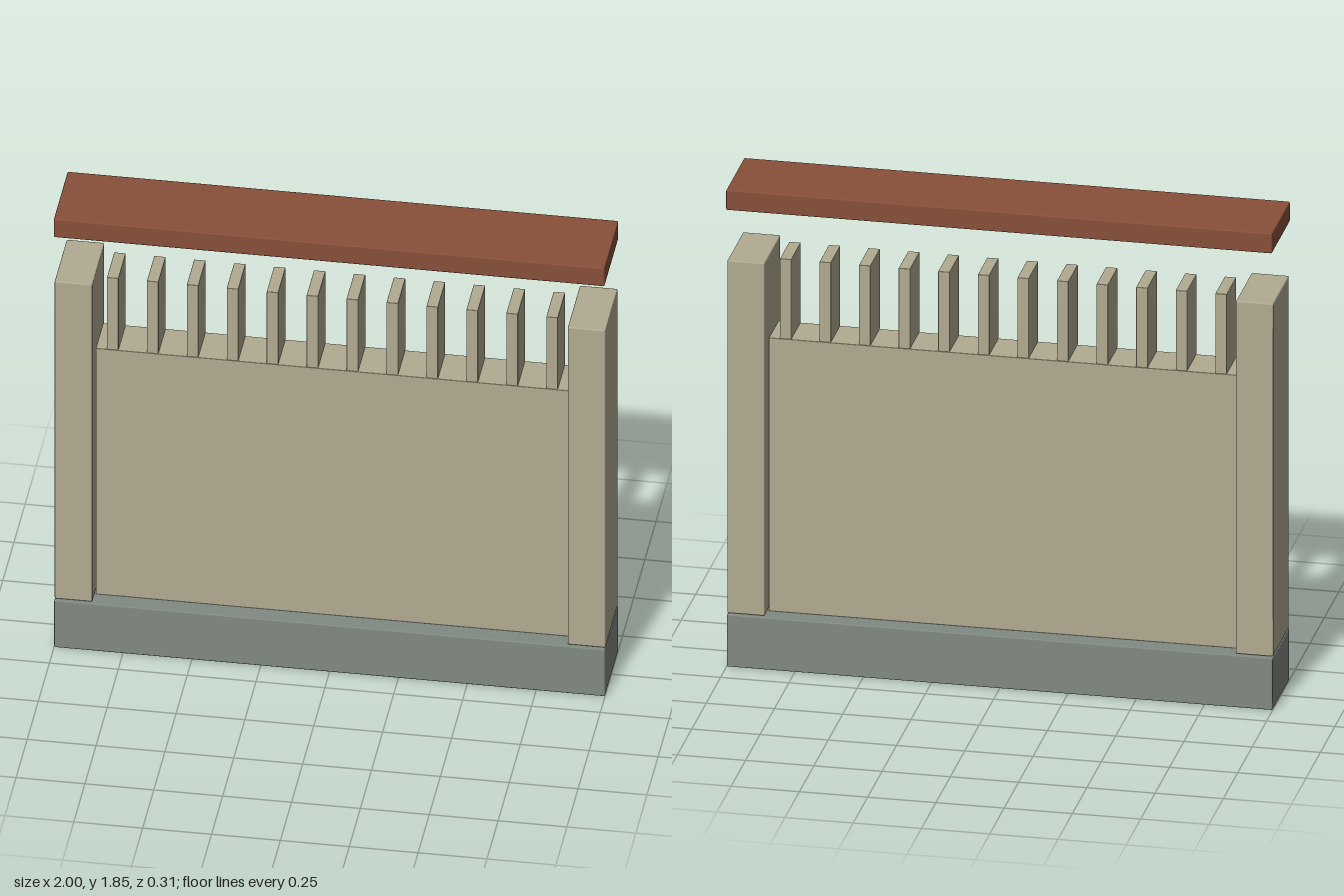
import * as THREE from 'three';
import { RoundedBoxGeometry } from 'three/addons/geometries/RoundedBoxGeometry.js';

const material = (name, color) => {
  const m = new THREE.MeshStandardMaterial({ color });
  m.name = name;
  return m;
};

export function createModel() {
  const stone = material('greyStone', 0x808a82);
  const plaster = material('sandPlaster', 0xb2ab92);
  const clay = material('redClay', 0x88503a);

  const model = new THREE.Group();
  model.name = 'slattedWall';

  // Block with finely bevelled edges, from its bottom to its top height
  const block = (name, width, bottom, top, depth, mat, x = 0, bevel = 0.005) => {
    const geometry = new RoundedBoxGeometry(width, top - bottom, depth, 1, bevel);
    const mesh = new THREE.Mesh(geometry, mat);
    mesh.name = name;
    mesh.position.set(x, (bottom + top) / 2, 0);
    model.add(mesh);
  };

  // Plinth, recessed wall panel and floating coping
  block('base', 2, 0, 0.202, 0.295, stone);
  block('panel', 1.718, 0.202, 1.26, 0.165, plaster, 0, 0.002);
  block('coping', 2, 1.772, 1.85, 0.315, clay);

  // End posts
  for (const side of [-1, 1]) {
    block(side > 0 ? 'leftPost' : 'rightPost', 0.137, 0.204, 1.57, 0.277, plaster, side * 0.9315);
  }

  // Row of upright slats on top of the panel
  const count = 12;
  const spacing = 0.145;
  for (let i = 0; i < count; i++) {
    block(`slat${i + 1}`, 0.042, 1.26, 1.57, 0.165, plaster, (i - (count - 1) / 2) * spacing, 0.002);
  }

  return model;
}
